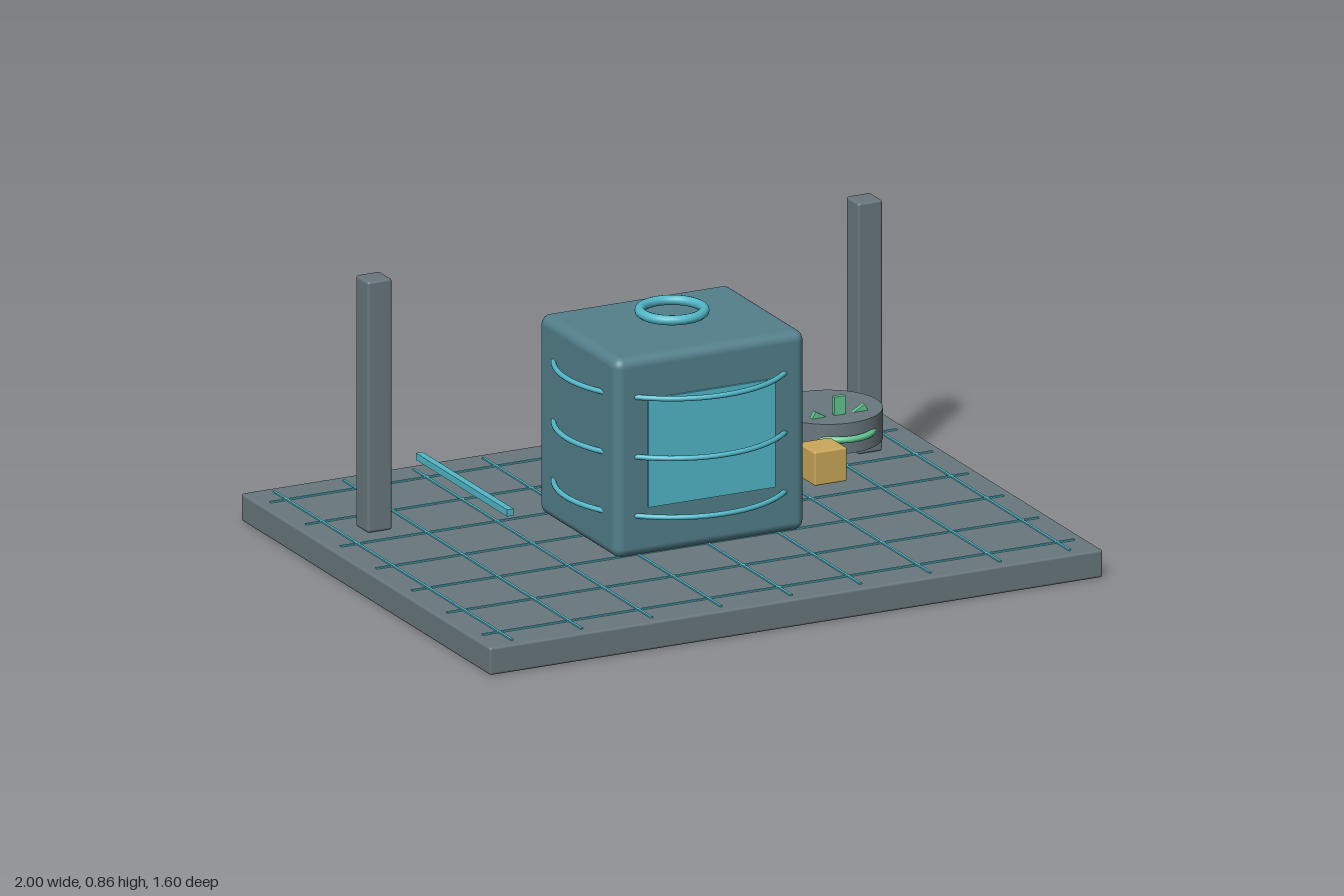
import * as THREE from 'three';
import { RoundedBoxGeometry } from 'three/addons/geometries/RoundedBoxGeometry.js';

const material = (name, color) => {
  const m = new THREE.MeshStandardMaterial({ color });
  m.name = name;
  return m;
};

export function createModel() {
  const model = new THREE.Group();
  model.name = 'machineDiorama';

  const grey = material('slate grey', 0x69777d);
  const teal = material('dull teal', 0x53808b);
  const cyan = material('bright cyan', 0x52b8c9);
  const green = material('mint green', 0x62c692);
  const amber = material('amber', 0xcba85a);

  const add = (name, geometry, mat, x, y, z, parent = model) => {
    const mesh = new THREE.Mesh(geometry, mat);
    mesh.name = name;
    mesh.position.set(x, y, z);
    parent.add(mesh);
    return mesh;
  };
  const box = (w, h, d) => new THREE.BoxGeometry(w, h, d);
  const rounded = (w, h, d, r, s = 2) => new RoundedBoxGeometry(w, h, d, s, r);
  const flatRing = (r, tube) => new THREE.TorusGeometry(r, tube, 12, 64).rotateX(Math.PI / 2);

  // Floor slab with inlaid grid lines
  const top = 0.085;
  add('floorSlab', rounded(2, top, 1.6, 0.008), grey, 0, top / 2, 0);
  const grid = new THREE.Group();
  grid.name = 'floorGrid';
  model.add(grid);
  const pitch = 0.2275;
  for (let i = -4; i <= 4; i++) {
    add('gridLineLong', box(0.008, 0.008, 1.53), cyan, i * pitch, top, 0, grid);
  }
  for (let i = -3; i <= 3; i++) {
    add('gridLineCross', box(1.93, 0.008, 0.008), cyan, 0, top, i * pitch, grid);
  }

  // Corner posts
  for (const side of [-1, 1]) {
    add('post', rounded(0.08, 0.77, 0.08, 0.008), grey, side * 0.8, top + 0.385, -0.34);
  }

  // Main cabinet, its window panel, hoops and floating top ring
  add('cabinet', rounded(0.62, 0.612, 0.5, 0.03, 4), teal, 0, 0.391, 0);
  add('frontPanel', box(0.415, 0.332, 0.009), cyan, 0, 0.401, 0.2525);
  for (const y of [0.212, 0.393, 0.576]) {
    add('cabinetHoop', flatRing(0.345, 0.008), cyan, 0, y, 0);
  }
  add('topRing', flatRing(0.094, 0.015), cyan, 0, 0.733, 0);

  // Drum with a wheel set into it
  add('drum', new THREE.CylinderGeometry(0.16, 0.16, 0.093, 48), grey, 0.6, 0.245, -0.18);
  const wheel = new THREE.Group();
  wheel.name = 'drumWheel';
  wheel.position.set(0.6, 0.245, -0.109);
  model.add(wheel);
  add('wheelRing', flatRing(0.1, 0.01), green, 0, 0, 0, wheel);
  for (let i = 0; i < 3; i++) {
    add('wheelSpoke', box(0.036, 0.205, 0.015), green, 0, 0, 0, wheel).rotation.z = i * Math.PI / 3;
  }

  // Crate beside the cabinet
  add('crate', rounded(0.107, 0.104, 0.107, 0.006), amber, 0.407, 0.256, 0.166);

  // Side rods
  add('rightRod', box(0.021, 0.021, 0.585), cyan, -0.478, 0.155, -0.39);
  add('leftRod', box(0.021, 0.021, 0.585), green, 0.476, 0.155, -0.39);

  return model;
}
